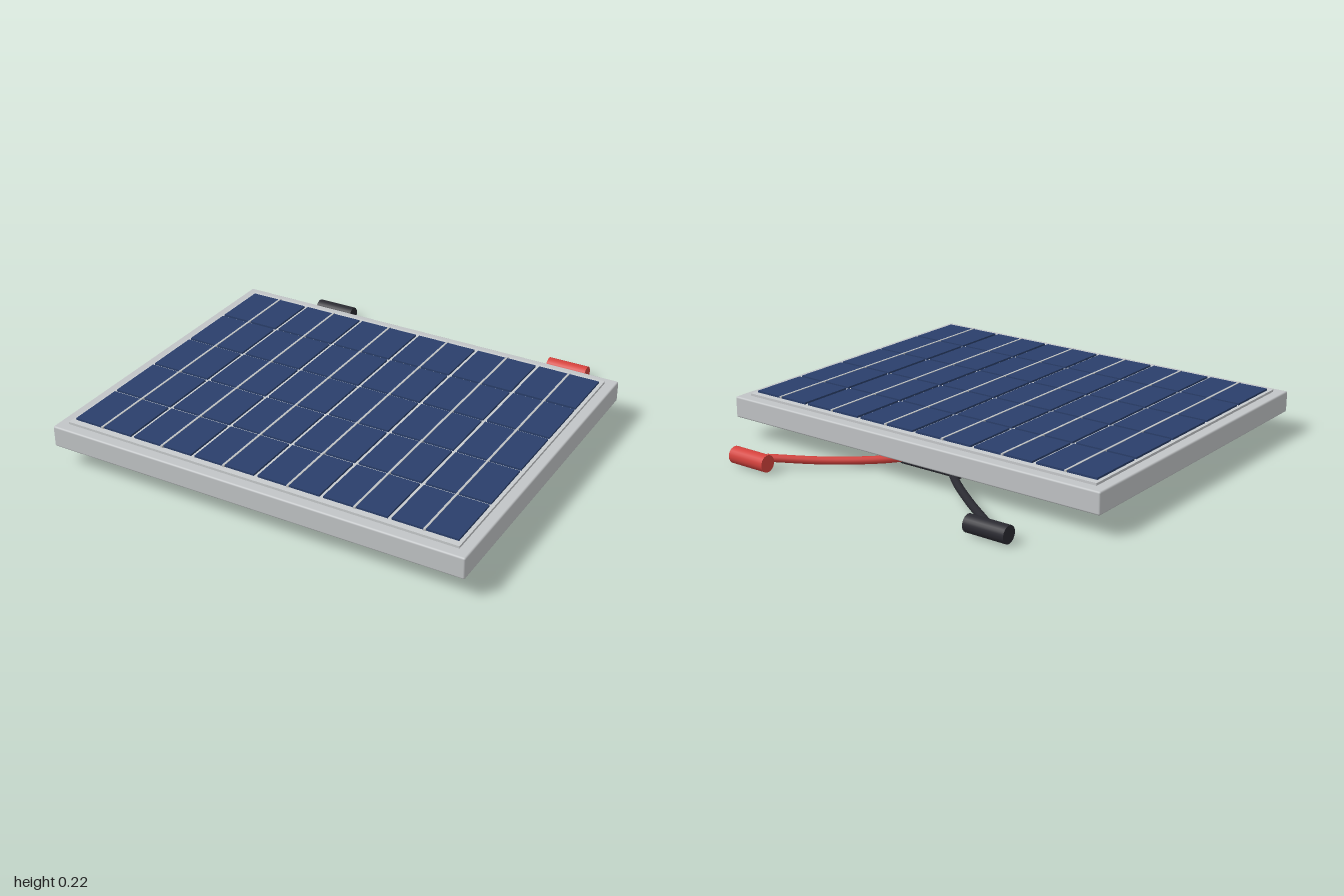
import * as THREE from 'three';
import { RoundedBoxGeometry } from 'three/addons/geometries/RoundedBoxGeometry.js';

const mat = (name, color, side = THREE.FrontSide) => {
  const m = new THREE.MeshStandardMaterial({ color, side });
  m.name = name;
  return m;
};

export function createModel() {
  const model = new THREE.Group();
  model.name = 'solarPanel';

  const aluminium = mat('aluminium', 0xc2c5c7);
  const sheet = mat('backing sheet', 0xc8cbcd);
  const silicon = mat('blue silicon', 0x2a3f6b);
  const silver = mat('silver busbar', 0xbfc2c4);
  const black = mat('black plastic', 0x2a2a31, THREE.DoubleSide);
  const red = mat('red plastic', 0xd5423d, THREE.DoubleSide);

  const add = (name, geometry, material, x, y, z, parent = model) => {
    const mesh = new THREE.Mesh(geometry, material);
    mesh.name = name;
    mesh.position.set(x, y, z);
    parent.add(mesh);
    return mesh;
  };

  const midZ = 0.147;

  // Frame slab and the raised sheet that carries the cells
  add('frame', new RoundedBoxGeometry(2, 0.1, 1.596, 2, 0.008), aluminium, 0, 0.146, midZ);
  add('backingSheet', new THREE.BoxGeometry(1.9, 0.02, 1.496), sheet, 0, 0.197, midZ);

  // Grid of cells, with one busbar down the middle of each column
  const cols = 6, rows = 5, pitchX = 0.314, pitchZ = 0.29;
  const cellW = 0.296, cellD = 0.275;
  const cells = new THREE.Group();
  cells.name = 'cells';
  model.add(cells);
  const cellGeo = new THREE.BoxGeometry(cellW, 0.009, cellD);
  const barGeo = new THREE.BoxGeometry(0.01, 0.009, pitchZ * (rows - 1) + cellD + 0.016);
  for (let c = 0; c < cols; c++) {
    const x = (c - (cols - 1) / 2) * pitchX;
    for (let r = 0; r < rows; r++) {
      add('cell', cellGeo, silicon, x, 0.2115, midZ + (r - (rows - 1) / 2) * pitchZ, cells);
    }
    add('busbar', barGeo, silver, x, 0.2135, midZ, cells);
  }

  // Junction box under the panel
  add('junctionBox', new RoundedBoxGeometry(0.345, 0.1, 0.245, 3, 0.012), black, 0, 0.05, -0.3525);

  // Mirrored cables, each ending at a round connector
  for (const [side, name, material] of [[1, 'left', red], [-1, 'right', black]]) {
    const path = new THREE.CatmullRomCurve3([
      [0.09, 0.042, -0.44], [0.21, 0.033, -0.555], [0.4, 0.031, -0.705], [0.6, 0.045, -0.858],
    ].map(([x, y, z]) => new THREE.Vector3(side * x, y, z)));
    add(name + 'Cable', new THREE.TubeGeometry(path, 24, 0.018, 12), material, 0, 0, 0);
    const plug = new THREE.CylinderGeometry(0.039, 0.039, 0.2, 24).rotateZ(Math.PI / 2);
    add(name + 'Connector', plug, material, side * 0.65, 0.042, -0.906);
  }

  return model;
}
